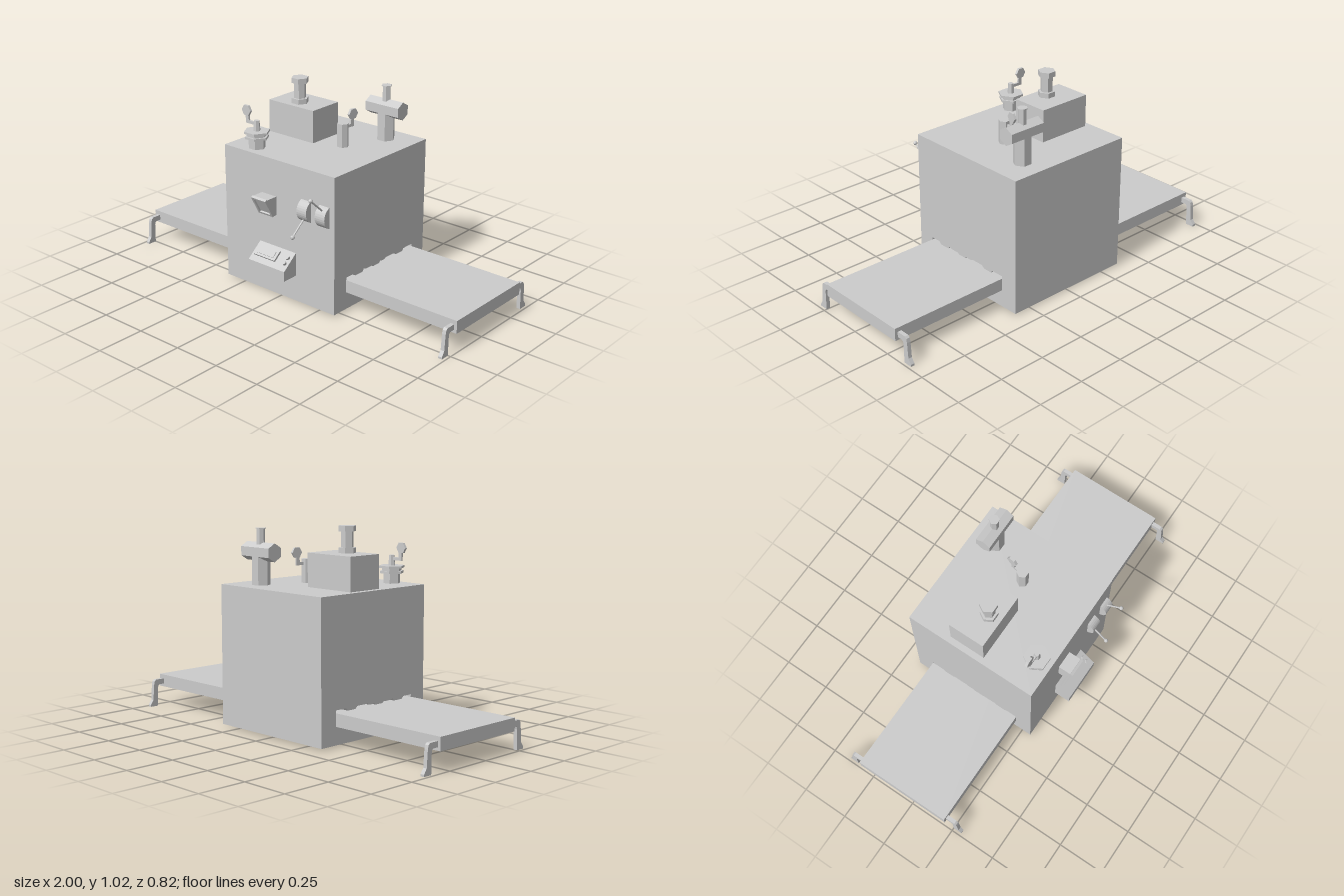
import * as THREE from 'three';

const mat = new THREE.MeshStandardMaterial({ color: 0xcccccc, flatShading: true });

export function createModel() {
  const model = new THREE.Group();

  const add = (name, geo, x = 0, y = 0, z = 0, parent = model) => {
    const mesh = new THREE.Mesh(geo, mat);
    mesh.name = name;
    mesh.position.set(x, y, z);
    parent.add(mesh);
    return mesh;
  };

  const vec = (pts) => pts.map(([a, b]) => new THREE.Vector2(a, b));

  // Side profile given as [z, y] points, extruded along x around a centre
  const profile = (name, pts, x, width, hole) => {
    const shape = new THREE.Shape(vec(pts));
    if (hole) shape.holes.push(new THREE.Path(vec(hole)));
    const geo = new THREE.ExtrudeGeometry(shape, { depth: width, bevelEnabled: false });
    geo.translate(0, 0, -width / 2).rotateY(-Math.PI / 2);
    return add(name, geo, x);
  };

  const box = (name, x0, x1, y0, y1, z0, z1) =>
    add(name, new THREE.BoxGeometry(x1 - x0, y1 - y0, z1 - z0), (x0 + x1) / 2, (y0 + y1) / 2, (z0 + z1) / 2);

  // Upright hexagonal prism with its corners pointing along x
  const hex = (name, r, y0, y1, x, z, rTop = r) => {
    const geo = new THREE.CylinderGeometry(rTop, r, y1 - y0, 6).rotateY(Math.PI / 6);
    return add(name, geo, x, (y0 + y1) / 2, z);
  };

  // Straight rod between two points
  const rod = (name, a, b, r, sides = 8) => {
    const from = new THREE.Vector3(...a), to = new THREE.Vector3(...b);
    const dir = to.clone().sub(from);
    const mesh = add(name, new THREE.CylinderGeometry(r, r, dir.length(), sides));
    mesh.position.copy(from).add(to).multiplyScalar(0.5);
    mesh.quaternion.setFromUnitVectors(new THREE.Vector3(0, 1, 0), dir.normalize());
  };

  // Housing with a tunnel whose upper edge is a ragged curtain
  profile('housing',
    [[-0.41, 0.01], [0.3, 0.01], [0.3, 0.72], [-0.41, 0.72]], -0.003, 0.71,
    [[-0.314, 0.12], [0.209, 0.12], [0.209, 0.178], [0.155, 0.178], [0.14, 0.165], [0.085, 0.165],
      [0.075, 0.178], [0.06, 0.172], [0.01, 0.172], [0, 0.163], [-0.045, 0.163], [-0.055, 0.176],
      [-0.065, 0.171], [-0.09, 0.171], [-0.1, 0.178], [-0.17, 0.178], [-0.185, 0.165],
      [-0.235, 0.165], [-0.245, 0.178], [-0.314, 0.178]]);

  // Conveyor bed and its four bent legs
  box('conveyor', -1, 1, 0.1, 0.165, -0.315, 0.21);
  const leg = [[0, 0.116], [0.03, 0.116], [0.038, 0.112], [0.041, 0.1], [0.043, 0], [0.09, 0], [0.09, 0.01],
    [0.073, 0.035], [0.067, 0.116], [0.063, 0.135], [0.053, 0.144], [0, 0.144]];
  for (const x of [-0.975, 0.975]) {
    profile('frontLeg', leg.map(([z, y]) => [0.208 + z, y]), x, 0.02);
    profile('backLeg', leg.map(([z, y]) => [-0.314 - z, y]), x, 0.02);
  }

  // Roof box with a bolted hexagonal post
  box('roofBox', -0.327, -0.035, 0.72, 0.888, -0.187, 0.006);
  hex('postCollar', 0.044, 0.888, 0.914, -0.178, -0.06);
  hex('postShaft', 0.031, 0.914, 0.995, -0.178, -0.06);
  hex('postCap', 0.044, 0.993, 1.02, -0.178, -0.06);

  // T-shaped stack with a horizontal hexagonal drum
  hex('stackBase', 0.046, 0.72, 0.88, 0.195, -0.285);
  const drum = new THREE.CylinderGeometry(0.046, 0.046, 0.203, 6).rotateZ(Math.PI / 2);
  const turned = drum.clone().rotateX(Math.PI / 6);
  // Choose the turn that puts a corner straight up
  drum.computeBoundingBox();
  add('stackDrum', drum.boundingBox.max.y > 0.045 ? drum : turned, 0.196, 0.884, -0.285);
  hex('stackPipe', 0.021, 0.9, 1, 0.195, -0.285);
  hex('stackCap', 0.027, 0.997, 1.001, 0.195, -0.285);

  // Crank: L-shaped arm with a hexagonal plate knob, reaching along local +x
  const crank = (x, y, z, angle) => {
    const g = new THREE.Group();
    g.name = 'crank';
    g.position.set(x, y, z);
    g.rotation.y = angle;
    const arm = new THREE.Shape(vec([[0, 0], [0.068, 0], [0.07, 0.05], [0.052, 0.05], [0.048, 0.015], [0, 0.015]]));
    const armGeo = new THREE.ExtrudeGeometry(arm, { depth: 0.01, bevelEnabled: false }).translate(0, 0, -0.005);
    add('crankArm', armGeo, 0, 0, 0, g);
    const knob = new THREE.CylinderGeometry(0.029, 0.029, 0.013, 6).rotateY(Math.PI / 6).rotateX(Math.PI / 2);
    add('crankKnob', knob, 0.065, 0.064, 0, g);
    model.add(g);
  };
  hex('crankColumn', 0.03, 0.72, 0.84, 0.102, -0.06);
  crank(0.102, 0.81, -0.06, Math.PI / 2 - 0.14);

  // Flanged valve with its own crank
  const valve = [[0.043, 0.72, 0.77], [0.061, 0.77, 0.782], [0.05, 0.782, 0.797], [0.066, 0.797, 0.808]];
  for (const [r, y0, y1] of valve) hex('valveFlange', r, y0, y1, -0.205, 0.229);
  hex('valveStem', 0.018, 0.808, 0.86, -0.205, 0.229, 0.014);
  crank(-0.205, 0.835, 0.229, Math.PI);

  // Flat part lying on a sloped face: origin, slope angle and list of boxes
  const sloped = (name, x, y, z, tilt, fill) => {
    const g = new THREE.Group();
    g.name = name;
    g.position.set(x, y, z);
    g.rotation.x = tilt;
    fill(g);
    model.add(g);
  };
  const frame = (name, w, h, t, d, g) => {
    for (const s of [-1, 1]) {
      add(name, new THREE.BoxGeometry(w, t, d), 0, s * (h - t) / 2, 0, g);
      add(name, new THREE.BoxGeometry(t, h - 2 * t, d), s * (w - t) / 2, 0, 0, g);
    }
  };

  // Control desk with raised display and round buttons
  profile('controlDesk', [[0.29, 0.146], [0.386, 0.144], [0.386, 0.195], [0.3, 0.266], [0.29, 0.266]], -0.01, 0.236);
  sloped('deskPanel', -0.01, 0.2305, 0.343, -0.88, (g) => {
    add('display', new THREE.BoxGeometry(0.137, 0.058, 0.012), -0.033, 0.006, 0.004, g);
    add('displayScreen', new THREE.BoxGeometry(0.105, 0.034, 0.006), -0.033, 0.006, 0.01, g);
    for (const y of [-0.014, 0.018])
      add('button', new THREE.CylinderGeometry(0.011, 0.011, 0.016, 8).rotateX(Math.PI / 2), 0.093, y, 0.004, g);
  });

  // Monitor facing forward and down
  profile('monitor', [[0.29, 0.433], [0.318, 0.433], [0.372, 0.53], [0.29, 0.53]], -0.063, 0.094);
  sloped('monitorFrame', -0.063, 0.4815, 0.347, Math.atan2(0.054, 0.097), (g) =>
    frame('monitorRim', 0.094, 0.111, 0.012, 0.014, g));

  // Two levers on curved mounts, one down and one up
  const arc = [];
  for (let i = 0; i <= 12; i++) {
    const a = -1.2 + i * 0.2;
    arc.push([0.28 + 0.058 * Math.cos(a), 0.508 + 0.058 * Math.sin(a)]);
  }
  for (const [x, s] of [[0.177, -1], [0.291, 1]]) {
    profile('leverMount', arc, x, 0.06);
    const tip = [x, 0.511 + s * 0.108, 0.4];
    rod('leverRod', [x, 0.508 + s * 0.025, 0.305], tip, 0.0045);
    add('leverKnob', new THREE.SphereGeometry(0.011, 8, 6), ...tip);
  }

  return model;
}
